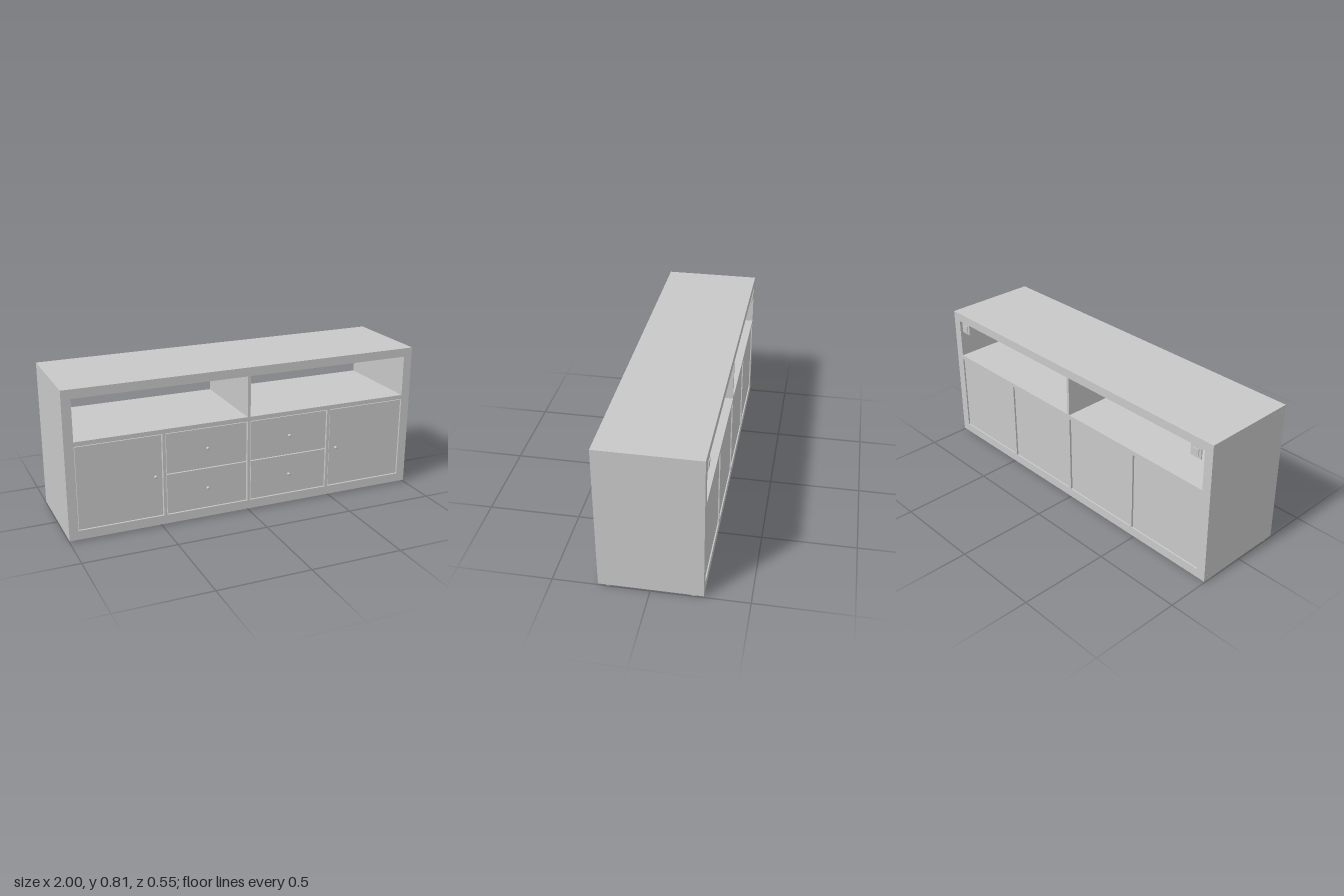
import * as THREE from 'three';

export function createModel() {
  const model = new THREE.Group();
  model.name = 'sideboard';
  const grey = new THREE.MeshStandardMaterial({ color: 0xc8c8c8 });
  grey.name = 'light grey';

  const add = (name, geometry, x, y, z, parent = model) => {
    const mesh = new THREE.Mesh(geometry, grey);
    mesh.name = name;
    mesh.position.set(x, y, z);
    parent.add(mesh);
    return mesh;
  };
  // Box given by its limits on each axis
  const box = (name, x0, x1, y0, y1, z0, z1, parent = model) =>
    add(name, new THREE.BoxGeometry(x1 - x0, y1 - y0, z1 - z0),
      (x0 + x1) / 2, (y0 + y1) / 2, (z0 + z1) / 2, parent);

  const back = -0.268, front = 0.264;
  const low = 0.008, high = 0.813;

  // Carcass
  box('bottomPanel', -0.95, 0.95, low, 0.058, back, front);
  box('topPanel', -0.95, 0.95, 0.765, high, back, front);
  box('middleShelf', -0.95, 0.95, 0.516, 0.54, back, front);
  box('upperDivider', -0.008, 0.008, 0.54, 0.765, back, front);
  for (const x of [-0.48, 0, 0.48]) {
    box('lowerDivider', x - 0.008, x + 0.008, 0.058, 0.516, back, front);
  }

  // Round knob with a slim stem
  const knobProfile = [[0, 0], [0.005, 0], [0.005, 0.007], [0.008, 0.008], [0.008, 0.018], [0, 0.018]]
    .map(([r, y]) => new THREE.Vector2(r, y));
  const knobGeometry = new THREE.LatheGeometry(knobProfile, 20);
  knobGeometry.rotateX(Math.PI / 2);
  const knob = (x, y, parent) => add('knob', knobGeometry, x, y, 0.258, parent);

  // Hollow insert: side walls, floor, roof and back panel
  const insertShell = (x0, x1, parent) => {
    const y0 = 0.061, y1 = 0.511, t = 0.012, zb = -0.262, zf = 0.24;
    box('insertSide', x0, x0 + t, y0, y1, zb, zf, parent);
    box('insertSide', x1 - t, x1, y0, y1, zb, zf, parent);
    box('insertFloor', x0 + t, x1 - t, y0, y0 + t, zb, zf, parent);
    box('insertRoof', x0 + t, x1 - t, y1 - t, y1, zb, zf, parent);
    box('insertBack', x0 + t, x1 - t, y0 + t, y1 - t, zb, zb + t, parent);
  };

  for (const s of [-1, 1]) {
    const span = (a, b) => (s > 0 ? [a, b] : [-b, -a]);

    // Side panel with recessed screw caps
    box('sidePanel', ...span(0.95, 1), low, high, back, front);
    for (const y of [0.032, 0.787]) {
      for (const z of [-0.242, 0.238]) {
        const cap = add('screwCap', new THREE.CylinderGeometry(0.003, 0.003, 0.001, 12), s * 0.9998, y, z);
        cap.rotation.z = Math.PI / 2;
      }
    }

    // Outer door insert
    const door = new THREE.Group();
    door.name = 'doorInsert';
    model.add(door);
    insertShell(...span(0.493, 0.946), door);
    box('door', ...span(0.493, 0.946), 0.061, 0.511, 0.242, 0.259, door);
    knob(s * 0.531, 0.286, door);

    // Inner pair of drawers
    const drawers = new THREE.Group();
    drawers.name = 'drawerInsert';
    model.add(drawers);
    insertShell(...span(0.014, 0.467), drawers);
    for (const [y0, y1, ky] of [[0.061, 0.284, 0.175], [0.289, 0.511, 0.401]]) {
      box('drawerFront', ...span(0.014, 0.467), y0, y1, 0.242, 0.259, drawers);
      knob(s * 0.24, ky, drawers);
    }

    // Wall bracket hanging under the top at the rear
    const bracket = new THREE.Group();
    bracket.name = 'wallBracket';
    model.add(bracket);
    box('bracketPlate', ...span(0.863, 0.929), 0.702, 0.757, -0.266, -0.26, bracket);
    box('bracketFlange', ...span(0.863, 0.929), 0.757, 0.765, -0.266, -0.23, bracket);
    box('bracketPad', ...span(0.877, 0.915), 0.713, 0.751, -0.27, -0.266, bracket);
    const screw = add('bracketScrew', new THREE.CylinderGeometry(0.008, 0.008, 0.001, 16), s * 0.896, 0.732, -0.2703, bracket);
    screw.rotation.x = Math.PI / 2;
  }

  // Low round feet
  for (const x of [-0.973, 0, 0.973]) {
    for (const z of [-0.217, 0.211]) {
      add('foot', new THREE.CylinderGeometry(0.027, 0.025, 0.008, 24), x, 0.004, z);
    }
  }
  return model;
}
